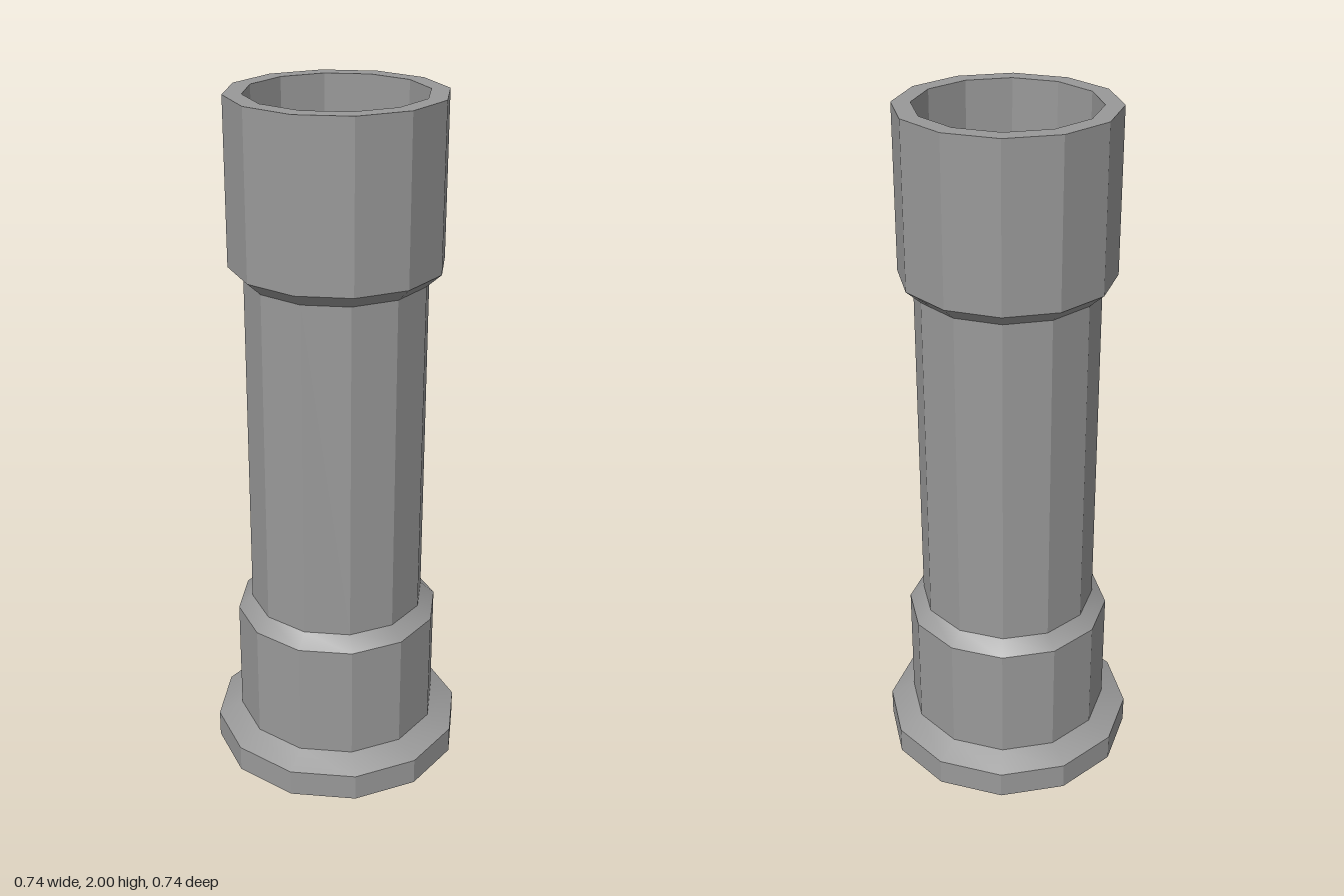
import * as THREE from 'three';
import { toCreasedNormals } from 'three/addons/utils/BufferGeometryUtils.js';

const SIDES = 12;

export function createModel() {
  const group = new THREE.Group();
  group.name = 'flangedPost';
  const grey = new THREE.MeshStandardMaterial({ color: 0x999999 });
  grey.name = 'stone grey';

  // Revolves a [radius, height] profile; walls stay faceted, shallow slopes blend
  const addTurned = (name, profile) => {
    const points = profile.map(([r, y]) => new THREE.Vector2(r, y));
    const geometry = toCreasedNormals(new THREE.LatheGeometry(points, SIDES), 0.5);
    const mesh = new THREE.Mesh(geometry, grey);
    mesh.name = name;
    group.add(mesh);
  };

  // Closed foot with a sloping brim
  addTurned('baseFlange', [[0, 0], [0.372, 0], [0.372, 0.08], [0.3, 0.115]]);
  // Collar tapering into the shaft
  addTurned('lowerCollar', [[0.3, 0.115], [0.3, 0.462], [0.258, 0.5]]);
  addTurned('shaft', [[0.258, 0.5], [0.258, 1.5]]);
  // Hollow head: undercut, outer wall, rim, inner wall and floor
  addTurned('upperSocket', [
    [0.258, 1.5], [0.3, 1.538], [0.3, 2], [0.249, 2], [0.249, 1.53], [0, 1.53],
  ]);

  return group;
}
